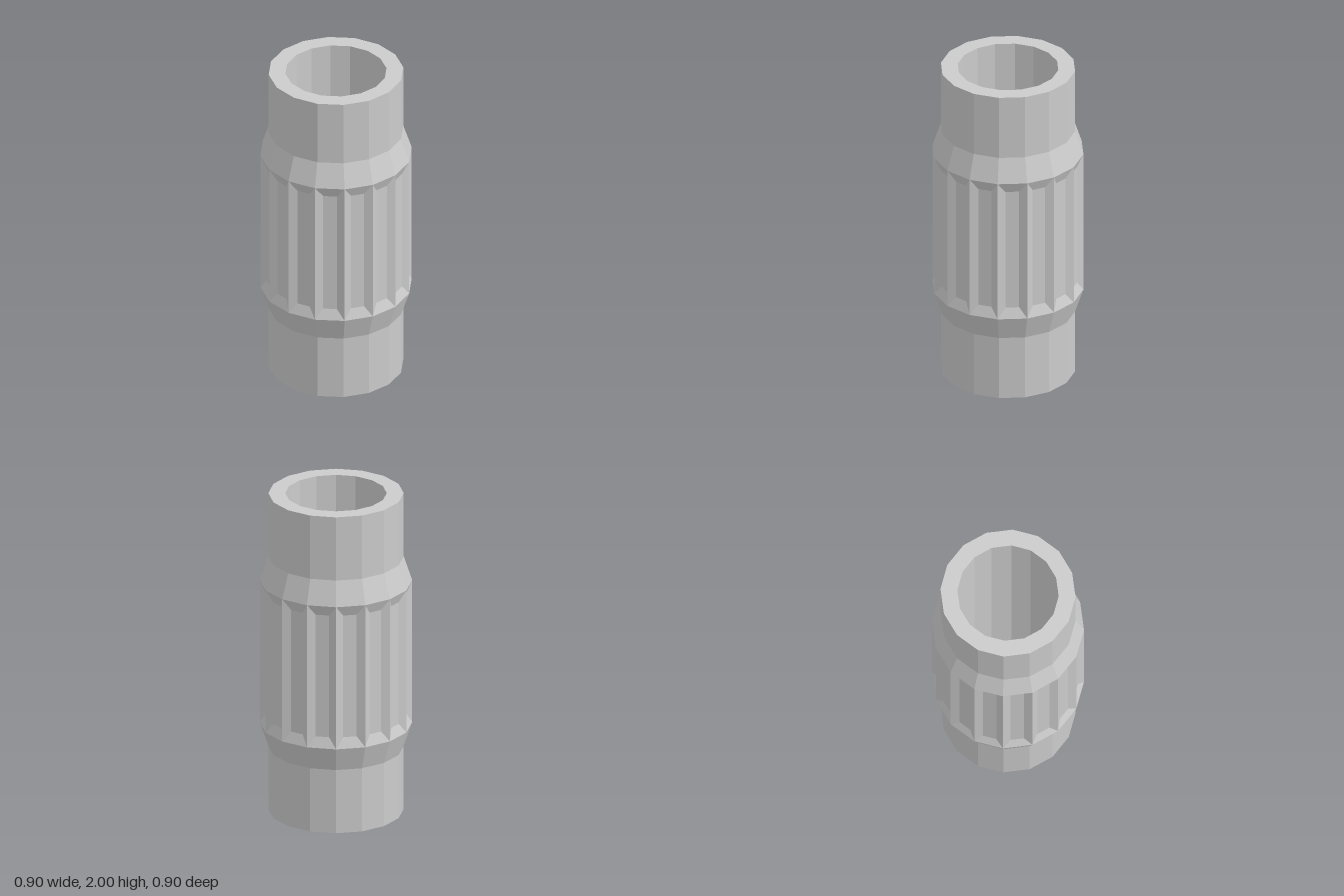
import * as THREE from 'three';

const SIDES = 16;
const RIDGE = 0.45; // radius at the grip ridges
const LOW = 0.55, HIGH = 1.45; // grip section

// One recessed panel facing +z: an outer rectangle, sloped rim and sunken floor
function recessedPanel() {
  const half = Math.PI / SIDES;
  const w = RIDGE * Math.sin(half), z = RIDGE * Math.cos(half);
  const insetX = 0.047, insetY = 0.065, depth = 0.024;
  const rect = (x, y0, y1, d) => [[-x, y0, d], [x, y0, d], [x, y1, d], [-x, y1, d]];
  const corners = [
    ...rect(w, LOW, HIGH, z),
    ...rect(w - insetX, LOW + insetY, HIGH - insetY, z - depth),
  ];
  const index = [4, 5, 6, 4, 6, 7]; // floor
  for (let i = 0; i < 4; i++) { // rim
    const j = (i + 1) % 4;
    index.push(i, j, 4 + j, i, 4 + j, 4 + i);
  }
  const geometry = new THREE.BufferGeometry();
  geometry.setAttribute('position', new THREE.Float32BufferAttribute(corners.flat(), 3));
  geometry.setIndex(index);
  const flat = geometry.toNonIndexed();
  flat.computeVertexNormals();
  return flat;
}

export function createModel() {
  const group = new THREE.Group();
  group.name = 'flutedSleeve';
  const material = new THREE.MeshStandardMaterial({ color: 0xcccccc, flatShading: true });

  // Collars, tapers, end rings and bore as one turned profile
  const profile = [
    [RIDGE, HIGH], [0.4, 1.6], [0.4, 2], [0.3, 2],
    [0.3, 0], [0.4, 0], [0.4, 0.4], [RIDGE, LOW],
  ].map(([r, y]) => new THREE.Vector2(r, y));
  const tube = new THREE.Mesh(new THREE.LatheGeometry(profile, SIDES), material);
  tube.name = 'tubeBody';
  group.add(tube);

  // Ring of recessed panels around the middle
  const grip = new THREE.Group();
  grip.name = 'flutedGrip';
  const panel = recessedPanel();
  for (let i = 0; i < SIDES; i++) {
    const mesh = new THREE.Mesh(panel, material);
    mesh.name = 'gripPanel';
    mesh.rotation.y = ((i + 0.5) / SIDES) * Math.PI * 2;
    grip.add(mesh);
  }
  group.add(grip);
  return group;
}
